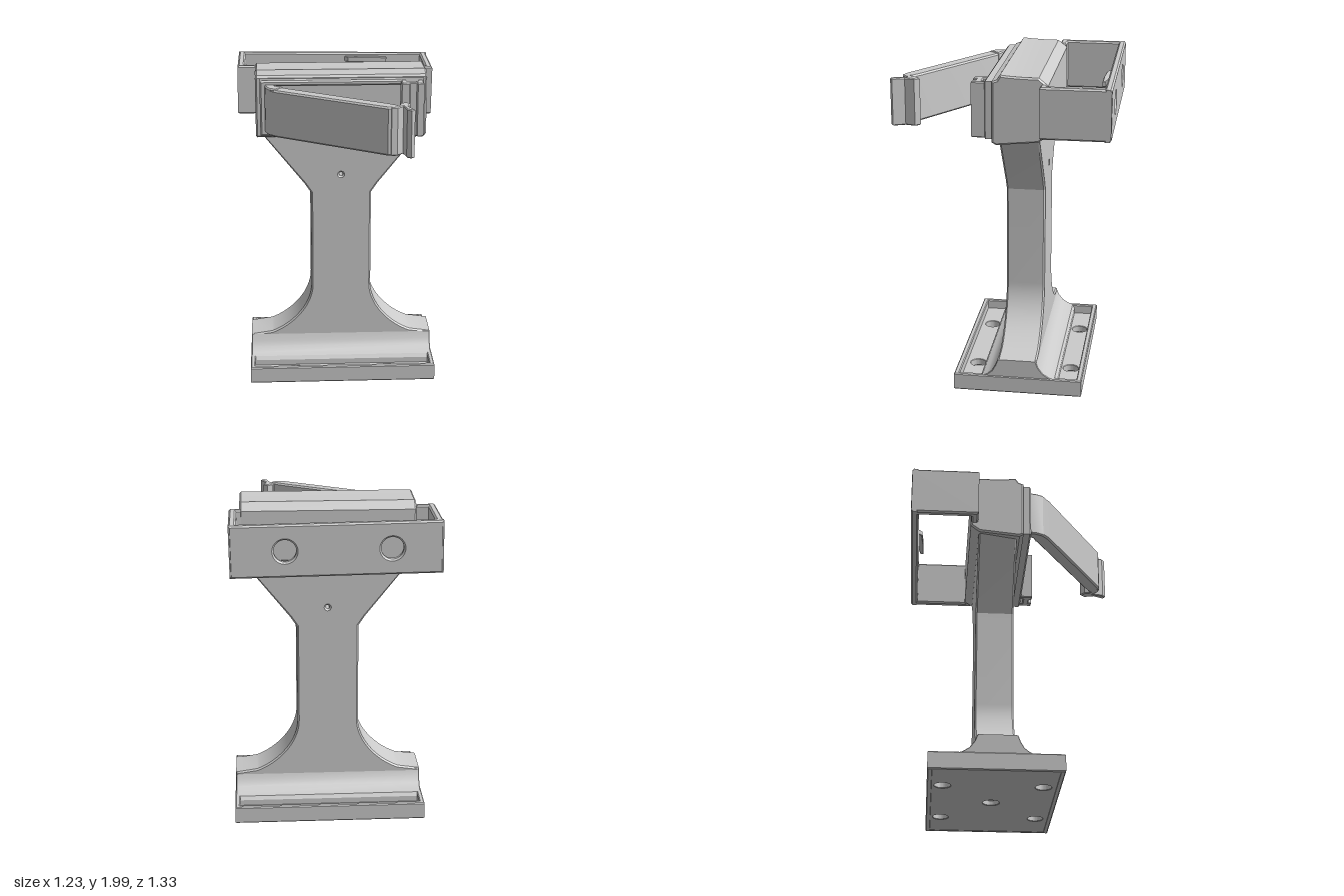
import * as THREE from 'three';
import { toCreasedNormals } from 'three/addons/utils/BufferGeometryUtils.js';

const material = new THREE.MeshStandardMaterial({ color: 0xcccccc });

function polygon(points) {
  return new THREE.Shape(points.map(([x, y]) => new THREE.Vector2(x, y)));
}

function addHole(shape, x, y, r) {
  const hole = new THREE.Path();
  hole.absarc(x, y, r, 0, Math.PI * 2, true);
  shape.holes.push(hole);
}

// Extrudes a shape to an exact depth, with a small chamfer that stays inside the outline.
function extrude(shape, depth, bevel = 0.01) {
  return new THREE.ExtrudeGeometry(shape, {
    depth: depth - 2 * bevel, bevelEnabled: true, bevelThickness: bevel,
    bevelSize: bevel, bevelOffset: -bevel, bevelSegments: 1, curveSegments: 20,
  }).translate(0, 0, bevel);
}

function part(name, geometry) {
  const mesh = new THREE.Mesh(toCreasedNormals(geometry, 0.4), material);
  mesh.name = name;
  return mesh;
}

// Floor-plan shape (drawn in x, -z) raised from y0 to y1.
function fromPlan(shape, y0, y1, bevel) {
  return extrude(shape, y1 - y0, bevel).rotateX(-Math.PI / 2).translate(0, y0, 0);
}
const plan = (points) => polygon(points.map(([x, z]) => [x, -z]));

// Side profile (z, y) stretched from x0 to x1.
function fromSide(points, x0, x1, bevel) {
  return extrude(polygon(points.map(([z, y]) => [-z, y])), x1 - x0, bevel)
    .rotateY(Math.PI / 2).translate(x0, 0, 0);
}

const rect = (x0, x1, y0, y1) => polygon([[x0, y0], [x1, y0], [x1, y1], [x0, y1]]);

export function createModel() {
  const model = new THREE.Group();
  const midX = 0.025;

  // Base tray: floor with four bolt holes and a central socket, inside a raised rim
  const floor = rect(-0.56, 0.61, -0.26, 0.515);
  for (const x of [-0.275, 0.32]) for (const z of [-0.43, 0.163]) addHole(floor, x, -z, 0.048);
  addHole(floor, midX, 0.13, 0.05);
  model.add(part('baseFloor', fromPlan(floor, 0.01, 0.055, 0.003)));
  const baseRim = rect(-0.565, 0.615, -0.267, 0.522);
  baseRim.holes.push(rect(-0.535, 0.585, -0.235, 0.49));
  model.add(part('baseRim', fromPlan(baseRim, 0.008, 0.115, 0.006)));

  // Foot with hollow fillets toward front and back
  const foot = [[0.105, 0.04], [0.105, 0.09], [0.09, 0.112], [0.06, 0.125], [0.03, 0.15], [0.01, 0.185],
    [-0.005, 0.225], [-0.24, 0.225], [-0.255, 0.185], [-0.285, 0.145], [-0.325, 0.12], [-0.355, 0.112],
    [-0.37, 0.09], [-0.37, 0.04]];
  model.add(part('foot', fromSide(foot, -0.56, 0.61, 0.004)));

  // Column: concave sweep at the bottom, straight shaft, flared top
  const column = new THREE.Shape();
  column.moveTo(midX - 0.585, 0.14);
  column.lineTo(midX + 0.585, 0.14);
  column.lineTo(midX + 0.585, 0.225);
  column.lineTo(midX + 0.45, 0.245);
  column.bezierCurveTo(midX + 0.33, 0.29, midX + 0.19, 0.42, midX + 0.19, 0.58);
  column.lineTo(midX + 0.19, 1.2);
  column.lineTo(midX + 0.23, 1.26);
  column.lineTo(midX + 0.5, 1.6);
  column.lineTo(midX - 0.5, 1.6);
  column.lineTo(midX - 0.23, 1.26);
  column.lineTo(midX - 0.19, 1.2);
  column.lineTo(midX - 0.19, 0.58);
  column.bezierCurveTo(midX - 0.19, 0.42, midX - 0.33, 0.29, midX - 0.45, 0.245);
  column.lineTo(midX - 0.585, 0.225);
  addHole(column, midX, 1.32, 0.012);
  model.add(part('column', extrude(column, 0.24).translate(0, 0, -0.245)));

  // Head box: shell open to the front, closed by two end walls
  const head = [[0.035, 1.955], [0.005, 1.965], [-0.015, 1.995], [-0.06, 1.99],
    [-0.16, 1.985], [-0.24, 1.985], [-0.295, 1.94], [-0.295, 1.64], [-0.24, 1.6], [0.01, 1.575], [0.035, 1.59]];
  const cavity = [[0.035, 1.65], [-0.22, 1.65], [-0.22, 1.92], [0.035, 1.92]];
  const headBox = new THREE.Group();
  headBox.name = 'headBox';
  headBox.add(part('headShell', fromSide([...head, ...cavity], -0.48, 0.53, 0.006)));
  for (const x of [-0.503, 0.49]) headBox.add(part('headEndWall', fromSide(head, x, x + 0.06)));
  const rim = rect(-0.475, 0.525, 1.605, 1.95);
  rim.holes.push(rect(-0.43, 0.47, 1.645, 1.915));
  headBox.add(part('headFrontRim', extrude(rim, 0.065).translate(0, 0, 0.02)));
  model.add(headBox);

  // Rear frame: two side walls with inward flanges and a drilled back wall
  const frame = new THREE.Group();
  frame.name = 'rearFrame';
  for (const s of [-1, 1]) {
    const wall = [[0.614, -0.665], [0.614, -0.25], [0.5, -0.25], [0.5, -0.29], [0.57, -0.295], [0.57, -0.665]];
    const points = wall.map(([x, z]) => [s * x, z]);
    if (s < 0) points.reverse();
    frame.add(part('frameSideWall', fromPlan(plan(points), -0.155, 0.155)));
  }
  const back = rect(-0.614, 0.614, -0.155, 0.155);
  for (const x of [-0.32, 0.295]) addHole(back, x, 0, 0.065);
  frame.add(part('frameBackWall', extrude(back, 0.045).translate(0, 0, -0.667)));
  frame.add(part('frameLip', fromPlan(plan(
    [[0.07, -0.63], [0.1, -0.6], [0.23, -0.59], [0.35, -0.59], [0.35, -0.61], [0.25, -0.63]]), 0.1, 0.135, 0.004)));
  frame.position.set(-0.003, 1.8, 0);
  frame.rotation.z = -0.014;
  model.add(frame);

  // Hinge arm at the right front corner
  model.add(part('hinge', fromPlan(plan(
    [[-0.45, 0.05], [-0.44, 0.12], [-0.42, 0.165], [-0.38, 0.195], [-0.33, 0.125], [-0.375, 0.105], [-0.4, 0.05]]),
  1.63, 1.925, 0.008)));

  // Catch socket at the left front corner, open at top and bottom, grooved in front
  const socket = plan([[0.385, 0.16], [0.43, 0.16], [0.437, 0.14], [0.475, 0.14], [0.482, 0.16],
    [0.52, 0.16], [0.52, 0.045], [0.385, 0.045]]);
  socket.holes.push(plan([[0.42, 0.06], [0.485, 0.06], [0.485, 0.1], [0.42, 0.1]]));
  model.add(part('catchSocket', fromPlan(socket, 1.61, 1.945, 0.006)));

  // Door swung open, ending in a bent latch strip
  const door = new THREE.Group();
  door.name = 'door';
  door.add(part('doorPanel', fromPlan(plan(
    [[-0.42, 0.165], [-0.38, 0.205], [0.265, 0.605], [0.32, 0.6], [0.33, 0.55], [0.27, 0.505], [-0.335, 0.125], [-0.39, 0.115]]),
  1.63, 1.92)));
  door.add(part('doorLatch', fromPlan(plan(
    [[0.275, 0.58], [0.285, 0.61], [0.32, 0.605], [0.355, 0.57], [0.37, 0.645], [0.395, 0.665], [0.415, 0.65],
      [0.385, 0.58], [0.4, 0.52], [0.375, 0.49], [0.34, 0.515], [0.335, 0.545]]),
  1.63, 1.92, 0.006)));
  model.add(door);

  return model;
}
